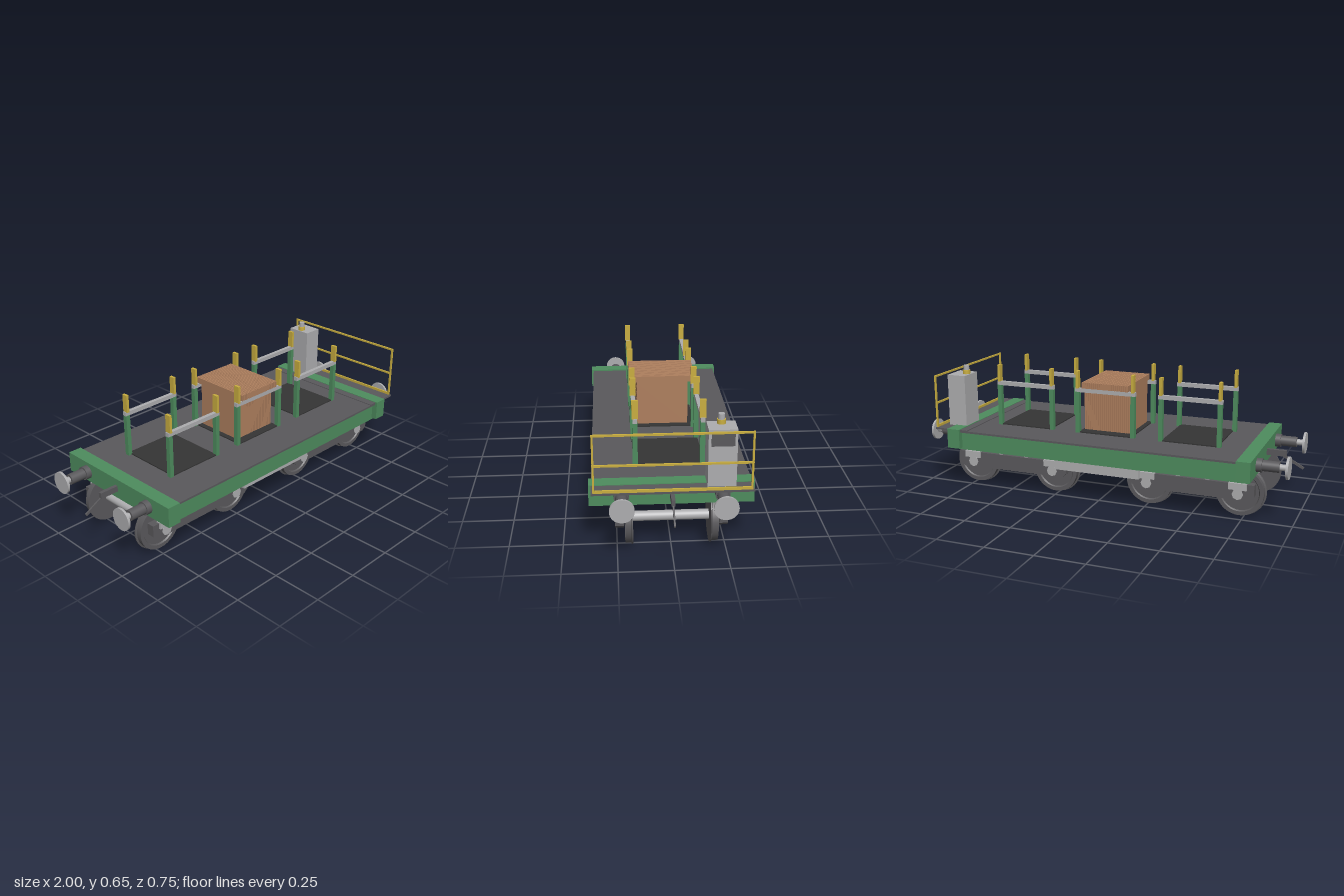
import * as THREE from 'three';

const mat = (name, color) => {
  const m = new THREE.MeshStandardMaterial({ color });
  m.name = name;
  return m;
};

export function createModel() {
  const green = mat('frame green', 0x4e8c5e);
  const dark = mat('dark grey', 0x5a595c);
  const light = mat('light grey', 0xadadaf);
  const yellow = mat('safety yellow', 0xc9ae40);
  const brown = mat('copper brown', 0xae7f5e);
  const black = mat('well black', 0x353535);

  const model = new THREE.Group();
  model.name = 'flatWagon';

  const add = (name, geo, m, parent = model) => {
    const mesh = new THREE.Mesh(geo, m);
    mesh.name = name;
    parent.add(mesh);
    return mesh;
  };
  // Box given by its limits on each axis
  const box = (name, m, x0, x1, y0, y1, z0, z1, parent) => {
    const g = new THREE.BoxGeometry(x1 - x0, y1 - y0, z1 - z0);
    g.translate((x0 + x1) / 2, (y0 + y1) / 2, (z0 + z1) / 2);
    return add(name, g, m, parent);
  };
  // Cylinder along a chosen axis
  const cyl = (name, m, axis, r, len, x, y, z, parent, seg = 32) => {
    const g = new THREE.CylinderGeometry(r, r, len, seg);
    if (axis === 'x') g.rotateZ(Math.PI / 2);
    if (axis === 'z') g.rotateX(Math.PI / 2);
    g.translate(x, y, z);
    return add(name, g, m, parent);
  };
  const sides = [-1, 1];

  // Underframe and deck
  box('deck', dark, -0.75, 0.75, 0.318, 0.328, -0.363, 0.363);
  box('endPlatform', dark, 0.7, 0.89, 0.322, 0.332, -0.363, 0.363);
  box('centreSill', green, -0.78, 0.78, 0.222, 0.318, -0.04, 0.04);
  box('underframeBox', dark, -0.23, 0.23, 0.155, 0.232, -0.25, 0.25);
  for (const s of sides) {
    const z = s * 0.33;
    box('sideSill', green, -0.77, 0.77, 0.222, 0.318, z - 0.015, z + 0.015);
    box('sidePanel', light, -0.23, 0.23, 0.153, 0.228, s * 0.267 - 0.018, s * 0.267 + 0.018);
    box('headstock', green, s * 0.777 - 0.035, s * 0.777 + 0.035, 0.232, 0.335, -0.375, 0.375);
  }

  // Buffers and couplings at both ends
  for (const s of sides) {
    for (const t of sides) {
      const buffer = new THREE.Group();
      buffer.name = 'buffer';
      model.add(buffer);
      const z = t * 0.228, y = 0.283;
      cyl('bufferBase', dark, 'x', 0.034, 0.03, s * 0.825, y, z, buffer);
      cyl('bufferSleeve', dark, 'x', 0.027, 0.12, s * 0.862, y, z, buffer);
      cyl('bufferRod', light, 'x', 0.016, 0.05, s * 0.94, y, z, buffer);
      cyl('bufferHead', light, 'x', 0.056, 0.012, s * 0.963, y, z, buffer);
    }
    box('couplingBlock', dark, s * 0.86 - 0.05, s * 0.86 + 0.05, 0.27, 0.3, -0.009, 0.009);
    const hook = add('couplingHook', new THREE.BoxGeometry(0.125, 0.013, 0.008), dark);
    hook.position.set(s * 0.943, 0.247, 0);
    hook.rotation.z = -s * 0.5;
  }

  // Wheel profile: tread with a flange on the inner side, turned around z
  const wheelGeo = new THREE.LatheGeometry([
    [0, 0], [0.128, 0], [0.128, 0.005], [0.12, 0.008], [0.12, 0.035],
    [0.1, 0.035], [0.095, 0.028], [0.04, 0.028], [0.036, 0.035], [0, 0.035],
  ].flatMap(([r, h], i, a) => {
    const p = new THREE.Vector2(r, h);
    return i > 0 && i < a.length - 1 ? [p, p.clone()] : [p];
  }), 40);
  wheelGeo.rotateX(Math.PI / 2);

  // Bogie side frame with chamfered lower corners
  const frameShape = new THREE.Shape([
    [-0.315, 0.185], [-0.315, 0.125], [-0.29, 0.103], [0.29, 0.103], [0.315, 0.125], [0.315, 0.185],
  ].map(([x, y]) => new THREE.Vector2(x, y)));
  const frameGeo = new THREE.ExtrudeGeometry(frameShape, { depth: 0.04, bevelEnabled: false });
  frameGeo.translate(0, 0, -0.02);

  for (const s of sides) {
    const bogie = new THREE.Group();
    bogie.name = 'bogie';
    bogie.position.x = s * 0.495;
    model.add(bogie);
    box('bolster', dark, -0.06, 0.06, 0.155, 0.228, -0.235, 0.235, bogie);
    for (const t of sides) {
      add('sideFrame', frameGeo, dark, bogie).position.z = t * 0.238;
      for (const u of sides) {
        cyl('bolsterSpring', light, 'y', 0.013, 0.14, u * 0.075, 0.25, t * 0.238, bogie, 16);
      }
    }
    for (const u of sides) {
      const x = u * 0.234;
      cyl('axle', light, 'z', 0.024, 0.524, x, 0.13, 0, bogie);
      for (const t of sides) {
        const wheel = add('wheel', wheelGeo, dark, bogie);
        wheel.position.set(x, 0.128, t * 0.177);
        if (t < 0) wheel.rotation.y = Math.PI;
        cyl('axleCap', light, 'z', 0.028, 0.012, x, 0.132, t * 0.257, bogie, 8);
        box('axleSpring', light, x - 0.045, x + 0.045, 0.156, 0.19, t * 0.255 - 0.013, t * 0.255 + 0.013, bogie);
      }
    }
  }

  // Three load bays: dark well floor, green posts, rails and yellow guides
  for (const cx of [-0.453, 0, 0.453]) {
    const bay = new THREE.Group();
    bay.name = 'loadBay';
    bay.position.x = cx;
    model.add(bay);
    box('wellFloor', black, -0.145, 0.145, 0.326, 0.334, -0.165, 0.165, bay);
    for (const t of sides) {
      const z = t * 0.157;
      box('supportRail', light, -0.165, 0.165, 0.545, 0.566, z - 0.01, z + 0.01, bay);
      for (const u of sides) {
        const x = u * 0.152;
        box('post', green, x - 0.011, x + 0.011, 0.326, 0.546, z - 0.012, z + 0.012, bay);
        box('guide', yellow, x - 0.007, x + 0.007, 0.564, 0.655, z - 0.015, z + 0.015, bay);
      }
    }
  }

  // Hanging plates with lugs that rest on the rails of the middle bay
  const plateShape = new THREE.Shape([
    [-0.13, 0.34], [0.13, 0.34], [0.13, 0.566], [0.167, 0.566],
    [0.167, 0.597], [-0.167, 0.597], [-0.167, 0.566], [-0.13, 0.566],
  ].map(([z, y]) => new THREE.Vector2(z, y)));
  const plateGeo = new THREE.ExtrudeGeometry(plateShape, { depth: 0.009, bevelEnabled: false });
  plateGeo.translate(0, 0, -0.0045);
  plateGeo.rotateY(Math.PI / 2);
  const plates = new THREE.Group();
  plates.name = 'hangingPlates';
  model.add(plates);
  const count = 23;
  for (let i = 0; i < count; i++) {
    add('plate', plateGeo, brown, plates).position.x = -0.122 + (0.244 * i) / (count - 1);
  }

  // Control cabinet with display panel and beacon
  box('cabinet', light, 0.747, 0.85, 0.33, 0.605, -0.285, -0.156);
  box('cabinetPanel', dark, 0.848, 0.854, 0.528, 0.591, -0.273, -0.169);
  cyl('beaconBase', yellow, 'y', 0.02, 0.022, 0.772, 0.615, -0.22);
  cyl('beacon', light, 'y', 0.015, 0.027, 0.772, 0.638, -0.22);

  // End railing
  box('toeBoard', yellow, 0.88, 0.888, 0.33, 0.345, -0.352, 0.352);
  for (const y of [0.463, 0.606]) {
    box('handRail', yellow, 0.88, 0.889, y - 0.0045, y + 0.0045, -0.355, 0.355);
  }
  for (const t of sides) {
    box('railPost', yellow, 0.88, 0.889, 0.33, 0.608, t * 0.35 - 0.0045, t * 0.35 + 0.0045);
  }

  return model;
}
